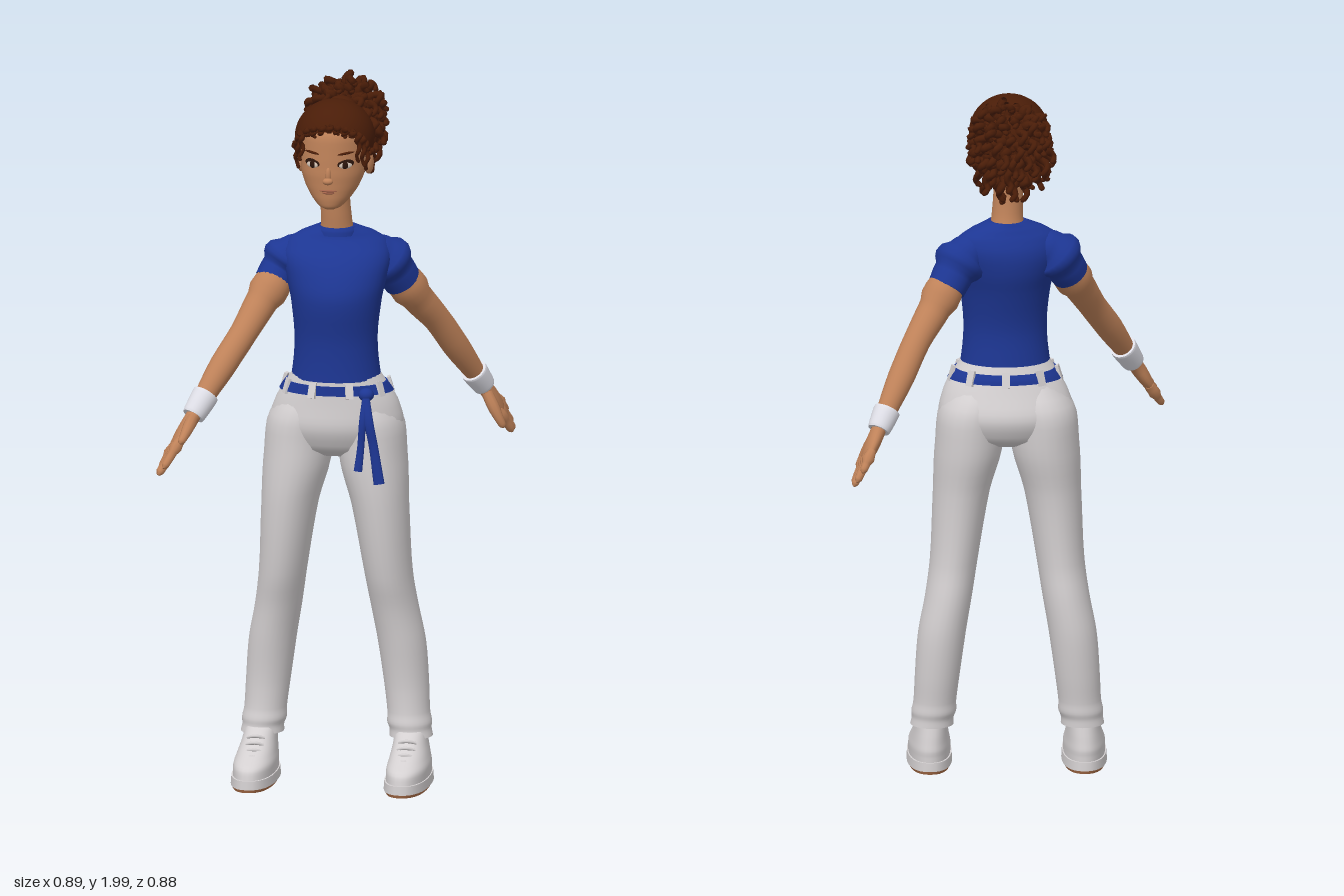
import * as THREE from 'three';

const V = (x, y, z) => new THREE.Vector3(x, y, z);
const colour = (name, hex) => Object.assign(new THREE.MeshStandardMaterial({ color: hex }), { name });

// Smooth skin through rows [x, y, z, radiusA, radiusB, yaw].
// Rings lie level, or, if a ref vector is given, square to the path with radiusA along ref.
function loft(rows, { seg = 24, steps = 4, ref = null, pow = 1 } = {}) {
  const path = new THREE.CatmullRomCurve3(rows.map(r => V(r[0], r[1], r[2])));
  const size = new THREE.CatmullRomCurve3(rows.map(r => V(r[3], r[4] ?? r[3], r[5] ?? 0)));
  const n = (rows.length - 1) * steps, pos = [], idx = [];
  const rise = Math.sign(rows[rows.length - 1][1] - rows[0][1]);
  const bend = c => Math.sign(c) * Math.abs(c) ** pow;
  const ring = i => {
    const t = i / n, c = path.getPoint(t), s = size.getPoint(t);
    const T = ref ? path.getTangent(t) : V(0, rise, 0);
    const U = (ref ? ref.clone() : V(Math.cos(s.z), 0, -Math.sin(s.z))).projectOnPlane(T).normalize();
    const W = T.clone().cross(U);
    for (let j = 0; j < seg; j++) {
      const a = j / seg * Math.PI * 2;
      const p = c.clone().addScaledVector(U, bend(Math.cos(a)) * Math.max(s.x, 0.001))
        .addScaledVector(W, bend(Math.sin(a)) * Math.max(s.y, 0.001));
      pos.push(p.x, p.y, p.z);
    }
    return c;
  };
  for (let i = 0; i <= n; i++) ring(i);
  for (let i = 0; i < n; i++) for (let j = 0; j < seg; j++) {
    const k = (j + 1) % seg, a = i * seg + j, b = i * seg + k;
    idx.push(a, b, b + seg, a, b + seg, a + seg);
  }
  for (const end of [0, n]) {
    const base = pos.length / 3, c = ring(end);
    pos.push(c.x, c.y, c.z);
    for (let j = 0; j < seg; j++) {
      const a = base + j, b = base + (j + 1) % seg;
      idx.push(...(end ? [a, b, base + seg] : [b, a, base + seg]));
    }
  }
  const g = new THREE.BufferGeometry();
  g.setAttribute('position', new THREE.Float32BufferAttribute(pos, 3));
  g.setIndex(idx);
  g.computeVertexNormals();
  return g;
}

export function createModel() {
  const model = new THREE.Group();
  const skin = colour('skin', 0xbf8259), blue = colour('blue cloth', 0x1d3693), hair = colour('hair', 0x4a1d08);
  const white = colour('trouser white', 0xd4d0d1), band = colour('wristband white', 0xdedee6);
  const sole = colour('sole brown', 0xb0714a), lips = colour('lips', 0xa2624a);
  const eyeWhite = colour('eye white', 0xd8c8ba), iris = colour('iris brown', 0x2a140b);
  const add = (name, geo, mat) => {
    const m = new THREE.Mesh(geo, mat);
    m.name = name;
    model.add(m);
    return m;
  };
  const ball = (name, mat, p, r, yaw = 0, roll = 0) => {
    const m = add(name, new THREE.SphereGeometry(1, 20, 14), mat);
    m.position.set(...p);
    m.scale.set(...r);
    m.rotation.set(0, yaw, roll);
  };

  // Shirt, twisted slightly at the shoulders
  add('shirt', loft([
    [0, 1.165, 0.041, 0.127, 0.104], [0, 1.2, 0.042, 0.122, 0.101], [0, 1.28, 0.044, 0.117, 0.099, 0.03],
    [0, 1.39, 0.04, 0.128, 0.117, 0.08], [-0.002, 1.45, 0.024, 0.142, 0.117, 0.14],
    [-0.005, 1.51, 0.005, 0.153, 0.098, 0.2], [-0.005, 1.548, -0.008, 0.138, 0.069, 0.2],
    [-0.005, 1.572, -0.008, 0.1, 0.054, 0.18], [-0.005, 1.588, -0.004, 0.056, 0.048, 0.1]], { seg: 36 }), blue);
  add('collar', loft([[-0.004, 1.565, 0, 0.062, 0.058], [-0.004, 1.578, 0, 0.06, 0.056],
    [-0.004, 1.588, 0, 0.054, 0.051]]), blue);

  // Arms, hands, sleeves and wristbands; each arm has its own pose
  const arms = [
    { side: 'left', across: V(0.27, -0.51, 0.82), reach: 0.95,
      sleeve: [[0.075, 1.518, -0.02, 0.045], [0.115, 1.495, -0.045, 0.058], [0.145, 1.455, -0.068, 0.058], [0.168, 1.413, -0.09, 0.054]],
      arm: [[0.15, 1.45, -0.07, 0.046], [0.2, 1.365, -0.12, 0.046], [0.252, 1.285, -0.18, 0.039],
        [0.295, 1.2, -0.235, 0.038], [0.35, 1.09, -0.31, 0.026], [0.36, 1.065, -0.325, 0.024]] },
    { side: 'right', across: V(0.4, 0.45, 0.8), reach: 1.1,
      sleeve: [[-0.085, 1.518, 0, 0.045], [-0.13, 1.497, 0.002, 0.058], [-0.16, 1.46, 0.013, 0.058], [-0.182, 1.423, 0.034, 0.054]],
      arm: [[-0.16, 1.455, 0.012, 0.046], [-0.205, 1.38, 0.075, 0.046], [-0.247, 1.3, 0.145, 0.039],
        [-0.295, 1.22, 0.21, 0.038], [-0.35, 1.12, 0.285, 0.026], [-0.358, 1.1, 0.3, 0.024]] }];
  for (const { side, across, reach, sleeve, arm } of arms) {
    const up = V(0, 1, 0.01);
    add(side + 'Sleeve', loft(sleeve, { ref: up }), blue);
    add(side + 'Arm', loft(arm, { ref: up }), skin);
    const wrist = V(...arm[4].slice(0, 3)), before = V(...arm[3].slice(0, 3));
    const dir = wrist.clone().sub(before).normalize();
    const W = across.clone().projectOnPlane(dir).normalize();
    const at = (a, w, ...r) => [...wrist.clone().addScaledVector(dir, a * reach).addScaledVector(W, w).toArray(), ...r];
    add(side + 'Wristband', loft([at(-0.035, 0, 0.037), at(-0.028, 0, 0.038), at(0.026, 0, 0.033), at(0.033, 0, 0.031)],
      { ref: W }), band);
    const hand = (part, rows, seg = 10) => add(side + part, loft(rows, { seg, ref: W, steps: 3 }), skin);
    hand('Palm', [at(0.015, 0, 0.025, 0.021), at(0.05, 0.003, 0.032, 0.021), at(0.09, 0.002, 0.042, 0.02),
      at(0.125, 0, 0.042, 0.016), at(0.14, 0, 0.032, 0.009)], 20);
    [-1.5, -0.5, 0.5, 1.5].forEach((f, i) => {
      const long = [0.188, 0.213, 0.22, 0.205][i];
      hand('Finger', [at(0.11, f * 0.02, 0.0125), at(0.155, f * 0.0225, 0.0125), at(long - 0.01, f * 0.024, 0.0105),
        at(long, f * 0.0245, 0.003)]);
    });
    hand('Thumb', [at(0.04, 0.015, 0.016), at(0.075, 0.045, 0.017), at(0.11, 0.07, 0.013), at(0.132, 0.08, 0.01), at(0.139, 0.082, 0.002)]);
  }

  // Trousers
  add('trouserHips', loft([[-0.003, 0.94, 0.017, 0.09, 0.06], [-0.003, 0.965, 0.016, 0.165, 0.105], [-0.003, 1.03, 0.018, 0.191, 0.131],
    [0, 1.1, 0.028, 0.172, 0.117], [0, 1.175, 0.04, 0.126, 0.102]], { seg: 36 }), white);
  for (const s of [1, -1]) {
    const side = s > 0 ? 'left' : 'right', x = v => s * v - (s < 0 ? 0.01 : 0);
    const on = rows => rows.map(([a, ...r]) => [x(a), ...r]);
    add(side + 'TrouserLeg', loft(on([
      [0.068, 1.13, 0.027, 0.06, 0.08], [0.094, 1.03, 0.017, 0.096, 0.12], [0.104, 0.92, 0.02, 0.095, 0.119], [0.123, 0.8, 0.027, 0.08, 0.108],
      [0.145, 0.6, 0.016, 0.067, 0.094], [0.16, 0.5, -0.002, 0.066, 0.087], [0.178, 0.4, -0.012, 0.067, 0.081],
      [0.191, 0.28, -0.014, 0.063, 0.07], [0.198, 0.2, -0.008, 0.06, 0.066], [0.201, 0.17, -0.005, 0.063, 0.069],
      [0.204, 0.15, -0.003, 0.059, 0.066], [0.206, 0.13, -0.001, 0.061, 0.068]])), white);
    // Shoe
    add(side + 'SoleBottom', loft(on([[0.212, 0, 0.08, 0.058, 0.16], [0.212, 0.01, 0.08, 0.063, 0.164]]), { pow: 0.85, seg: 32 }), sole);
    add(side + 'SoleRim', loft(on([[0.212, 0.009, 0.08, 0.064, 0.165], [0.212, 0.034, 0.08, 0.062, 0.163]]), { pow: 0.85, seg: 32 }), white);
    add(side + 'ShoeUpper', loft(on([[0.212, 0.03, 0.08, 0.059, 0.158], [0.212, 0.06, 0.075, 0.059, 0.154],
      [0.211, 0.085, 0.053, 0.054, 0.127], [0.209, 0.115, 0.025, 0.048, 0.092], [0.207, 0.15, 0.004, 0.044, 0.062]]),
      { pow: 0.9, seg: 32 }), white);
    for (let i = 0; i < 4; i++) {
      const y = 0.087 + i * 0.015, z = 0.166 - i * 0.022;
      add(side + 'Lace', loft([[x(0.185), y - 0.006, z - 0.01, 0.004], [x(0.21), y + 0.001, z, 0.005], [x(0.235), y - 0.006, z - 0.01, 0.004]],
        { seg: 8, ref: V(0, 1, 0) }), white);
    }
  }

  // Belt with loops, knot and hanging tails
  add('belt', loft([[0, 1.127, 0.033, 0.162, 0.115], [0, 1.14, 0.034, 0.154, 0.113], [0, 1.154, 0.037, 0.144, 0.109]], { seg: 40 }), blue);
  for (let i = 0; i < 9; i++) {
    const a = (i + 0.5) / 9 * Math.PI * 2;
    const loop = add('beltLoop', new THREE.BoxGeometry(0.022, 0.044, 0.009), white);
    loop.position.set(0.153 * Math.sin(a), 1.141, 0.034 + 0.113 * Math.cos(a));
    loop.rotation.set(-0.3, a, 0, 'YXZ');
  }
  ball('beltKnot', blue, [0.1, 1.133, 0.136], [0.022, 0.019, 0.022], 0.4);
  for (const [dx, y, w] of [[-0.018, 0.92, 0.01], [0.042, 0.885, 0.013]])
    add('beltTail', loft([[0.1, 1.135, 0.148, w * 0.8, 0.006], [0.1 + dx * 0.3, 1.06, 0.168, w, 0.006],
      [0.1 + dx * 0.6, 0.99, 0.164, w, 0.007], [0.1 + dx, y, 0.17, w * 1.2, 0.007]], { seg: 10, ref: V(1, 0, 0) }), blue);

  // Neck and head
  add('neck', loft([[-0.004, 1.54, -0.012, 0.056, 0.054], [-0.005, 1.6, 0.002, 0.044, 0.046], [-0.008, 1.66, 0.008, 0.042, 0.045],
    [-0.01, 1.73, 0.01, 0.045, 0.05]]), skin);
  add('head', loft([[-0.01, 1.653, 0.088, 0.012, 0.012], [-0.01, 1.661, 0.082, 0.031, 0.032], [-0.01, 1.685, 0.063, 0.055, 0.057],
    [-0.01, 1.715, 0.044, 0.075, 0.078], [-0.01, 1.755, 0.028, 0.09, 0.096], [-0.01, 1.8, 0.018, 0.093, 0.104],
    [-0.01, 1.86, 0.01, 0.093, 0.108], [-0.01, 1.915, 0.002, 0.066, 0.075], [-0.01, 1.938, 0, 0.02, 0.02]], { seg: 32 }), skin);
  ball('noseBridge', skin, [-0.01, 1.755, 0.12], [0.009, 0.024, 0.01]);
  ball('noseTip', skin, [-0.01, 1.74, 0.129], [0.015, 0.01, 0.012]);
  ball('upperLip', lips, [-0.01, 1.711, 0.1195], [0.025, 0.0035, 0.0055]);
  ball('lowerLip', lips, [-0.01, 1.705, 0.118], [0.018, 0.004, 0.006]);
  for (const s of [1, -1]) {
    const x = v => -0.01 + s * v;
    ball('eyeLine', iris, [x(0.047), 1.788, 0.1065], [0.025, 0.012, 0.004], s * 0.5, s * 0.1);
    ball('eyeWhite', eyeWhite, [x(0.047), 1.784, 0.108], [0.02, 0.01, 0.0045], s * 0.5);
    ball('iris', iris, [x(0.046), 1.784, 0.111], [0.01, 0.0098, 0.0035], s * 0.45);
    ball('eyebrow', hair, [x(0.048), 1.818, 0.107], [0.025, 0.0035, 0.005], s * 0.5, s * 0.12);
    ball('ear', skin, [x(0.096), 1.77, 0.0], [0.012, 0.032, 0.02], s * -0.3);
  }

  // Hair drawn back over the skull and down to the nape
  const tilt = -0.78, edge = 2.0, scalp = V(0.112, 0.106, 0.121), crown = V(-0.01, 1.843, 0.004);
  const cap = new THREE.SphereGeometry(1, 40, 24, 0, Math.PI * 2, 0, edge);
  cap.rotateX(tilt).scale(...scalp.toArray()).translate(...crown.toArray());
  hair.side = THREE.DoubleSide;
  add('scalpHair', cap, hair);
  ball('napeHair', hair, [-0.01, 1.765, -0.036], [0.088, 0.07, 0.068]);

  // Curls: wavy tapering strands
  let seed = 7;
  const rand = () => (seed = (seed * 16807) % 2147483647) / 2147483647;
  const curl = (name, from, to, drop, r) => {
    const rows = [], turn = rand() * 6.28;
    for (let i = 0; i <= 7; i++) {
      const t = i / 7, p = from.clone().lerp(to, Math.min(1, t * 1.4)), a = turn + i * 1.9;
      rows.push([p.x + Math.cos(a) * r * 0.5, p.y - drop * t * t, p.z + Math.sin(a) * r * 0.5,
        r * (1 - 0.45 * t) * (i % 2 ? 1.12 : 0.9)]);
    }
    rows.push([rows[7][0], rows[7][1] - r * 0.4, rows[7][2], 0.002]);
    add(name, loft(rows, { seg: 7, steps: 2, ref: V(0.3, 0.2, 1) }), hair);
  };
  for (let i = 0; i < 28; i++) {
    const a = i / 28 * Math.PI * 2, front = Math.sin(a);
    const p = V(Math.sin(edge) * Math.cos(a), Math.cos(edge), Math.sin(edge) * front)
      .applyAxisAngle(V(1, 0, 0), tilt).multiply(scalp).add(crown);
    const cheek = Math.abs(front - 0.35) < 0.3;
    curl('hairlineCurl', p.clone().add(V(0.02 * (rand() - 0.5), 0.015, 0)), p.clone().add(V(0, 0.004, 0)),
      cheek ? 0.05 + 0.025 * rand() : 0.016 * rand(), 0.009);
  }

  // Ponytail: a core covered in long curls
  const tail = V(-0.01, 1.862, -0.183);
  ball('ponytailTie', hair, [-0.01, 1.885, -0.11], [0.05, 0.05, 0.04]);
  ball('ponytailCore', hair, tail.toArray(), [0.083, 0.09, 0.066]);
  const total = 110;
  for (let i = 0; i < total; i++) {
    const y = 1 - 2 * (i + 0.5) / total, r = Math.sqrt(1 - y * y), a = i * 2.39996;
    const d = V(r * Math.cos(a) * 0.116, y * 0.125, r * Math.sin(a) * 0.093);
    const grow = 0.92 + rand() * 0.14;
    curl('ponytailCurl', tail.clone().addScaledVector(d, 0.45), tail.clone().addScaledVector(d, grow).add(V(0, 0.012, 0)),
      0.03 + 0.035 * rand(), 0.0145);
  }
  return model;
}
